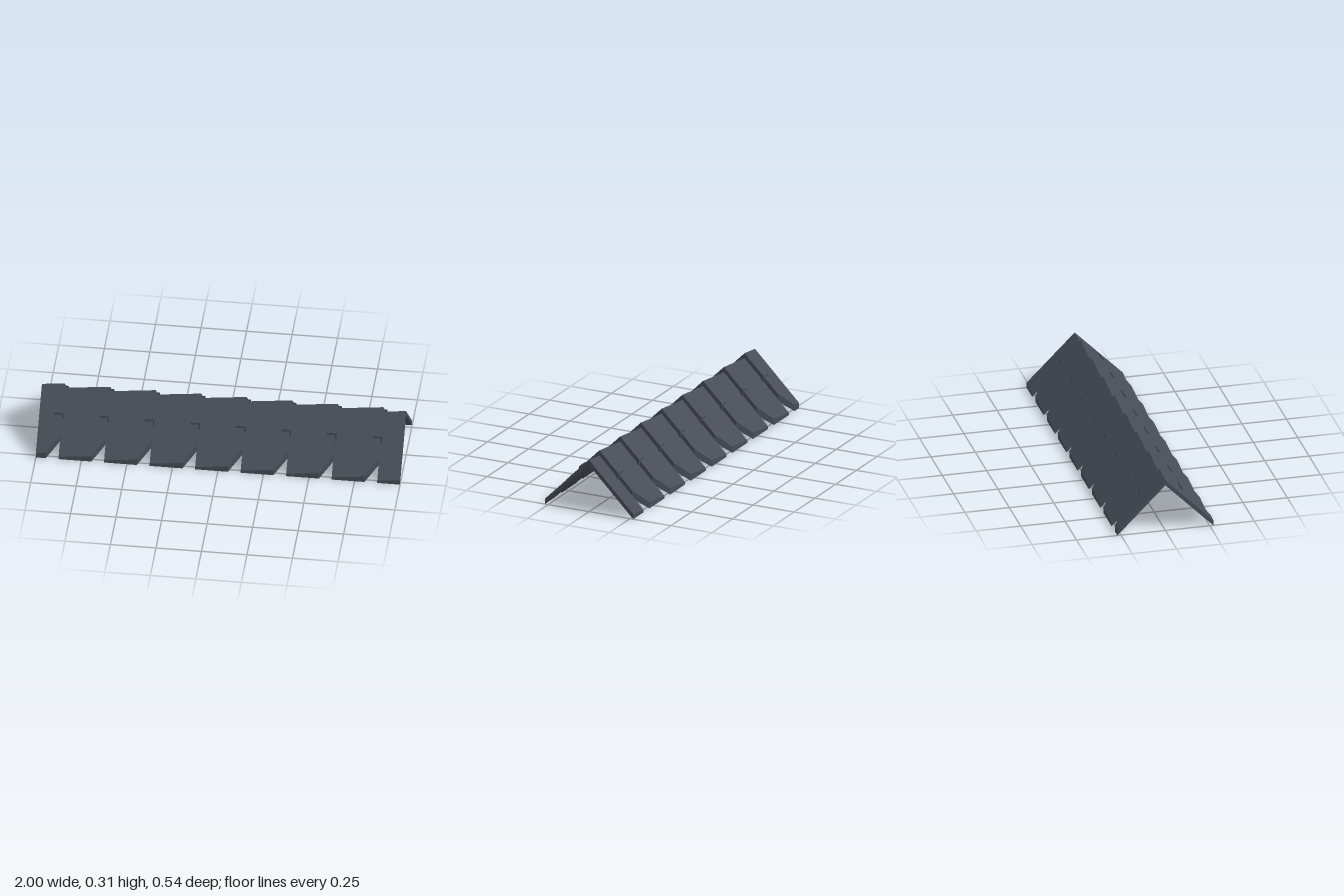
import * as THREE from 'three';

const PITCH = 0.25;       // length of one ridge cap
const HALF = 0.27;        // half width of the roof ridge
const UNDER = 0.27;       // underside height at the ridge
const LOW = 0.285, HIGH = 0.315; // cap top at its tucked and raised ends

// Extrudes a plan outline of [x, |z|] points on one side of the ridge, then
// shapes it to the 45 degree roof slope between two ridge heights.
function slopedSlab(points, side, bottom, top) {
  const shape = new THREE.Shape(points.map(([x, z]) => new THREE.Vector2(x, -z * side)));
  const geo = new THREE.ExtrudeGeometry(shape, { depth: 1, bevelEnabled: false });
  geo.rotateX(-Math.PI / 2);
  const p = geo.attributes.position;
  for (let i = 0; i < p.count; i++) {
    const ridge = p.getY(i) > 0.5 ? top(p.getX(i)) : bottom;
    p.setY(i, ridge - Math.abs(p.getZ(i)));
  }
  geo.computeVertexNormals();
  return geo;
}

export function createModel() {
  const model = new THREE.Group();
  model.name = 'roofRidge';
  const slate = new THREE.MeshStandardMaterial({ color: 0x474d57 });
  slate.name = 'slate grey';

  const add = (name, geo) => {
    const mesh = new THREE.Mesh(geo, slate);
    mesh.name = name;
    model.add(mesh);
  };

  for (let i = 0; i < 9; i++) {
    const start = -1.125 + i * PITCH, end = start + PITCH;
    const x0 = Math.max(start, -1), x1 = Math.min(end, 1);
    const last = i === 8;
    const capTop = (x) => LOW + (HIGH - LOW) * (x - start) / PITCH;

    for (const side of [1, -1]) {
      // Cap half with a clipped eave corner; the final cap is cut square
      const corner = last ? [[x1, HALF]] : [[x1, 0.2], [x1 - 0.07, HALF]];
      const outline = [[x0, 0], [x1, 0], ...corner, [x0, HALF]];
      add(side > 0 ? 'frontCap' : 'backCap', slopedSlab(outline, side, UNDER, capTop));

      // Small clip bridging the step to the next cap
      if (!last) {
        const clip = [[x1 - 0.043, 0.106], [x1 + 0.009, 0.106], [x1 + 0.009, 0.121], [x1 - 0.043, 0.121]];
        add(side > 0 ? 'frontClip' : 'backClip', slopedSlab(clip, side, UNDER + 0.01, () => 0.325));
      }
    }
  }
  return model;
}
